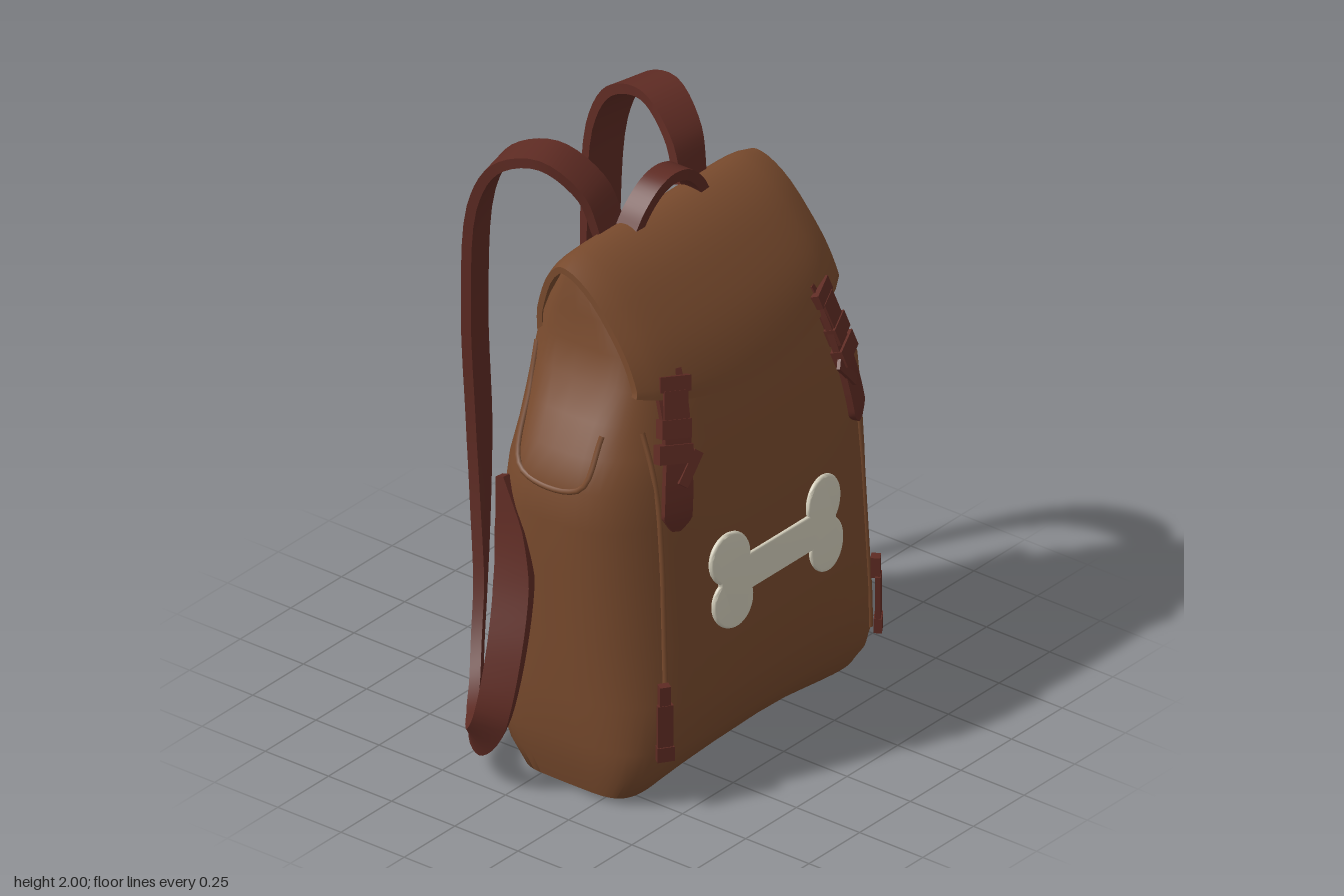
import * as THREE from 'three';
import { toCreasedNormals } from 'three/addons/utils/BufferGeometryUtils.js';

const V = (x, y, z) => new THREE.Vector3(x, y, z);
const material = (name, color) => {
  const m = new THREE.MeshStandardMaterial({ color });
  m.name = name;
  return m;
};

// Body sections: height, half width, front z, back z, z of the widest point,
// squareness of the corners, and how far the middle is drawn in
const ROWS = [
  [0.0, 0.57, 0.36, -0.1, 0.12, 5, 0.1], [0.02, 0.6, 0.395, -0.135, 0.12, 5, 0.1], [0.1, 0.622, 0.455, -0.195, 0.1, 4.5, 0.06],
  [0.2, 0.64, 0.49, -0.24, 0.08, 4, 0.02], [0.36, 0.65, 0.505, -0.278, 0.07, 3.2, 0], [0.55, 0.655, 0.5, -0.28, 0.07, 3, 0],
  [0.8, 0.66, 0.48, -0.255, 0.07, 3, 0], [0.97, 0.665, 0.46, -0.23, 0.07, 3, 0], [1.1, 0.66, 0.44, -0.212, 0.08, 3, 0],
  [1.2, 0.615, 0.42, -0.205, 0.08, 3, 0], [1.3, 0.56, 0.39, -0.2, 0.08, 3.3, 0], [1.4, 0.505, 0.36, -0.187, 0.07, 4, 0],
  [1.5, 0.474, 0.312, -0.168, 0.06, 4.5, 0], [1.6, 0.464, 0.242, -0.125, 0.05, 4.5, 0], [1.7, 0.45, 0.137, -0.063, 0.03, 4.5, 0],
  [1.75, 0.44, 0.07, -0.02, 0.02, 4.5, 0],
];

function rowAt(y) {
  let i = 0;
  while (i < ROWS.length - 2 && ROWS[i + 1][0] < y) i++;
  const t = (y - ROWS[i][0]) / (ROWS[i + 1][0] - ROWS[i][0]);
  return ROWS[i].map((v, k) => v + (ROWS[i + 1][k] - v) * t);
}

// Depth of the body surface at (x, y), on the front or the back
function surfaceZ(x, y, back = false) {
  const [, w, zf, zb, c, n, pinch] = rowAt(y);
  const u = Math.min(1, Math.abs(x) / w);
  const reach = back ? zb - c + pinch * (1 - u * u) : zf - c - pinch * (1 - u * u);
  return c + reach * Math.pow(1 - Math.pow(u, n), 1 / n);
}

// Skin a list of closed rings, with optional end caps
function loft(rings, capped, crease = 0.7) {
  const n = rings[0].length, pos = [], idx = [];
  rings.forEach(r => r.forEach(p => pos.push(p.x, p.y, p.z)));
  for (let i = 0; i < rings.length - 1; i++) {
    for (let j = 0; j < n; j++) {
      const a = i * n + j, b = i * n + (j + 1) % n;
      idx.push(a, a + n, b, b, a + n, b + n);
    }
  }
  if (capped) {
    [0, rings.length - 1].forEach(i => {
      const c = pos.length / 3, mid = V(0, 0, 0);
      rings[i].forEach(p => mid.addScaledVector(p, 1 / n));
      pos.push(mid.x, mid.y, mid.z);
      for (let j = 0; j < n; j++) {
        const a = i * n + j, b = i * n + (j + 1) % n;
        idx.push(c, i ? b : a, i ? a : b);
      }
    });
  }
  const g = new THREE.BufferGeometry();
  g.setAttribute('position', new THREE.Float32BufferAttribute(pos, 3));
  g.setIndex(idx);
  return toCreasedNormals(g, crease);
}

// Flat webbing along a path; each point is [x, y, z, width direction x, y, z, width]
function ribbon(pts, thickness, steps, s = 1) {
  const curve = new THREE.CatmullRomCurve3(pts.map(p => V(s * p[0], p[1], p[2])));
  const rings = [];
  for (let i = 0; i <= steps; i++) {
    const t = i / steps, f = t * (pts.length - 1), k = Math.min(Math.floor(f), pts.length - 2);
    const q = pts[k].map((v, m) => v + (pts[k + 1][m] - v) * (f - k));
    const c = curve.getPoint(t), T = curve.getTangent(t);
    const W = V(s * q[3], q[4], q[5]);
    W.addScaledVector(T, -W.dot(T)).normalize();
    const M = W.clone().cross(T);
    rings.push([[1, 1], [-1, 1], [-1, -1], [1, -1]].map(([a, b]) =>
      c.clone().addScaledVector(W, a * q[6] / 2).addScaledVector(M, b * thickness / 2)));
  }
  return loft(rings, true, 0.8);
}

function bodyGeometry() {
  const seg = 64;
  return loft(ROWS.map(([y, w, , , , n]) => Array.from({ length: seg }, (_, j) => {
    const a = (j / seg) * Math.PI * 2, cs = Math.cos(a);
    const x = w * Math.sign(cs) * Math.pow(Math.abs(cs), 2 / n);
    return V(x, y, surfaceZ(x, y, j > seg / 2));
  })), true);
}

// Flap: a thick sheet folded from the back, over the top, down the front
function flapGeometry() {
  const path = new THREE.CatmullRomCurve3([[-0.166, 1.52], [-0.145, 1.585], [-0.085, 1.7], [-0.01, 1.772],
    [0.06, 1.768], [0.16, 1.71], [0.27, 1.59], [0.345, 1.48], [0.395, 1.37], [0.412, 1.31]].map(([z, y]) => V(0, y, z)));
  const cols = 20, steps = 26, rings = [];
  for (let i = 0; i <= steps; i++) {
    const t = i / steps, p = path.getPoint(t), n = path.getTangent(t).cross(V(1, 0, 0));
    const w = 0.475 + 0.025 * t * t, thick = i === 0 || i === steps ? 0 : 0.022;
    const tuck = 0.025 + 0.05 * Math.max(0, 1 - 4 * t);
    const at = (u, d) => V(u * w, p.y + 0.1 * u * u * t ** 4, p.z - 0.07 * u * u * t ** 2)
      .addScaledVector(n, -d - tuck * u ** 8);
    const us = Array.from({ length: cols + 1 }, (_, j) => -1 + (2 * j) / cols);
    rings.push([...us.map(u => at(u, 0)), ...us.reverse().map(u => at(u, thick))]);
  }
  return loft(rings, false, 0.8);
}

// Bone patch, bent to lie on the front of the body
function boneGeometry() {
  const d = Math.PI / 180, shape = new THREE.Shape(), r = 0.08;
  shape.absarc(0.22, 0.637, r, -195 * d, 55 * d, false);
  shape.absarc(0.22, 0.783, r, -55 * d, 195 * d, false);
  shape.absarc(-0.24, 0.783, r, -15 * d, 235 * d, false);
  shape.absarc(-0.24, 0.637, r, 125 * d, 375 * d, false);
  const g = new THREE.ExtrudeGeometry(shape, { depth: 0.004, curveSegments: 14, bevelThickness: 0.006, bevelSize: 0.008, bevelSegments: 2 });
  const p = g.attributes.position;
  for (let i = 0; i < p.count; i++) p.setZ(i, p.getZ(i) + surfaceZ(p.getX(i), p.getY(i)) + 0.003);
  return toCreasedNormals(g, 0.8);
}

export function createModel() {
  const model = new THREE.Group();
  model.name = 'backpack';
  const canvas = material('brown canvas', 0x784a2d);
  const leather = material('dark red leather', 0x5e2b23);
  const cream = material('cream patch', 0xd2cdba);
  const add = (name, geo, mat, parent = model) => {
    const m = new THREE.Mesh(geo, mat);
    m.name = name;
    parent.add(m);
    return m;
  };
  const box = (name, parent, w, h, dp, x, y, z, rz = 0) => {
    const m = add(name, new THREE.BoxGeometry(w, h, dp), leather, parent);
    m.position.set(x, y, z);
    m.rotation.z = rz;
  };

  add('body', bodyGeometry(), canvas);
  add('flap', flapGeometry(), canvas);
  add('bonePatch', boneGeometry(), cream);

  // Carrying handle on top
  add('handle', ribbon([[-0.17, 1.75, 0.02], [-0.13, 1.81, 0.025], [-0.065, 1.865, 0.03], [0, 1.88, 0.03],
    [0.065, 1.865, 0.03], [0.13, 1.81, 0.025], [0.17, 1.75, 0.02]].map(p => [...p, 0, 0, -1, 0.08]), 0.036, 24), leather);

  for (const s of [1, -1]) {
    const side = s > 0 ? 'left' : 'right';

    // Shoulder strap: up from the top, down behind the back, round to the side
    add(side + 'ShoulderStrap', ribbon([
      [0.2, 1.75, -0.03, 1, 0, 0, 0.12], [0.225, 1.89, -0.08, 1, 0, 0.1, 0.13], [0.27, 1.98, -0.21, 1, 0, 0.2, 0.14],
      [0.3, 1.93, -0.36, 1, 0, 0.25, 0.14], [0.31, 1.78, -0.445, 1, 0, 0.25, 0.14], [0.31, 1.4, -0.475, 1, 0, 0.25, 0.13],
      [0.305, 0.95, -0.46, 1, 0, 0.25, 0.12], [0.33, 0.7, -0.435, 0.9, 0.1, 0.35, 0.11], [0.38, 0.46, -0.395, 0.8, 0.25, 0.5, 0.1],
      [0.45, 0.3, -0.35, 0.7, 0.5, 0.45, 0.1], [0.54, 0.19, -0.285, 0.5, 0.75, 0.3, 0.1], [0.66, 0.135, -0.2, 0.1, 1, 0, 0.1],
      [0.755, 0.165, -0.1, 0.1, 0.7, -0.5, 0.1], [0.795, 0.28, -0.02, 0.35, 0, -1, 0.11], [0.76, 0.48, 0.005, 0.2, 0, -1, 0.12],
      [0.69, 0.72, -0.015, 0.1, 0, -1, 0.13], [0.657, 0.88, -0.05, 0, 0, -1, 0.11], [0.638, 1.05, -0.1, 0, 0, -1, 0.03],
    ], 0.034, 84, s), leather);

    // Closing strap under the buckle, ending in a point
    const onBody = (x, y, lift) => [x, y, surfaceZ(x, y) + lift, 0.93, 0, -0.35];
    add(side + 'ClosingStrap', ribbon([
      [0.365, 1.45, 0.325, 0.93, 0, -0.35, 0.1], [0.385, 1.35, 0.37, 0.93, 0, -0.35, 0.1],
      [...onBody(0.405, 1.22, 0.025), 0.09], [...onBody(0.43, 1.09, 0.02), 0.1],
      [...onBody(0.445, 1.0, 0.02), 0.1], [...onBody(0.452, 0.96, 0.015), 0.03],
    ], 0.022, 24, s), leather);

    // Buckle with clasp, frame and loose strap end
    const buckle = new THREE.Group();
    buckle.name = side + 'Buckle';
    buckle.position.set(s * 0.395, 1.29, 0.375);
    buckle.rotation.set(-0.3, s * 0.35, s * 0.17, 'YXZ');
    box('clasp', buckle, 0.11, 0.05, 0.04, 0, 0.13, 0.005);
    box('tongue', buckle, 0.085, 0.12, 0.035, 0, 0.05, 0.01);
    box('socket', buckle, 0.105, 0.06, 0.04, 0, -0.01, 0.012);
    box('frame', buckle, 0.12, 0.06, 0.04, 0, -0.09, 0.008);
    box('looseEnd', buckle, 0.035, 0.12, 0.012, -s * 0.055, -0.14, 0.015, s * 0.5);
    model.add(buckle);

    // Front seam
    const seam = Array.from({ length: 10 }, (_, i) => {
      const y = 0.2 + i * 0.12, x = 0.505 - 0.025 * (i / 9);
      return V(s * x, y, surfaceZ(x, y) + 0.001);
    });
    add(side + 'FrontSeam', new THREE.TubeGeometry(new THREE.CatmullRomCurve3(seam), 30, 0.009, 6), canvas);

    // Zip pull at the foot of the seam
    const pull = new THREE.Group();
    pull.name = side + 'ZipPull';
    pull.position.set(s * 0.522, 0.31, surfaceZ(0.522, 0.31) + 0.02);
    pull.rotation.y = s * 0.6;
    box('slider', pull, 0.035, 0.07, 0.03, 0, 0.1, 0);
    box('tab', pull, 0.05, 0.18, 0.018, 0, -0.02, 0.008);
    box('tip', pull, 0.055, 0.05, 0.026, 0, -0.1, 0.008);
    model.add(pull);

    // Folded edge of the side gusset
    const fold = [[0.56, 1.27, 0], [0.645, 1.11, 0], [0.645, 1.11, 1], [0.52, 1.32, 1], [0.46, 1.45, 1]]
      .map(([x, y, back]) => V(s * x, y, surfaceZ(x, y, !!back)));
    add(side + 'GussetFold', new THREE.TubeGeometry(new THREE.CatmullRomCurve3(fold), 30, 0.01, 6), canvas);
  }
  return model;
}
